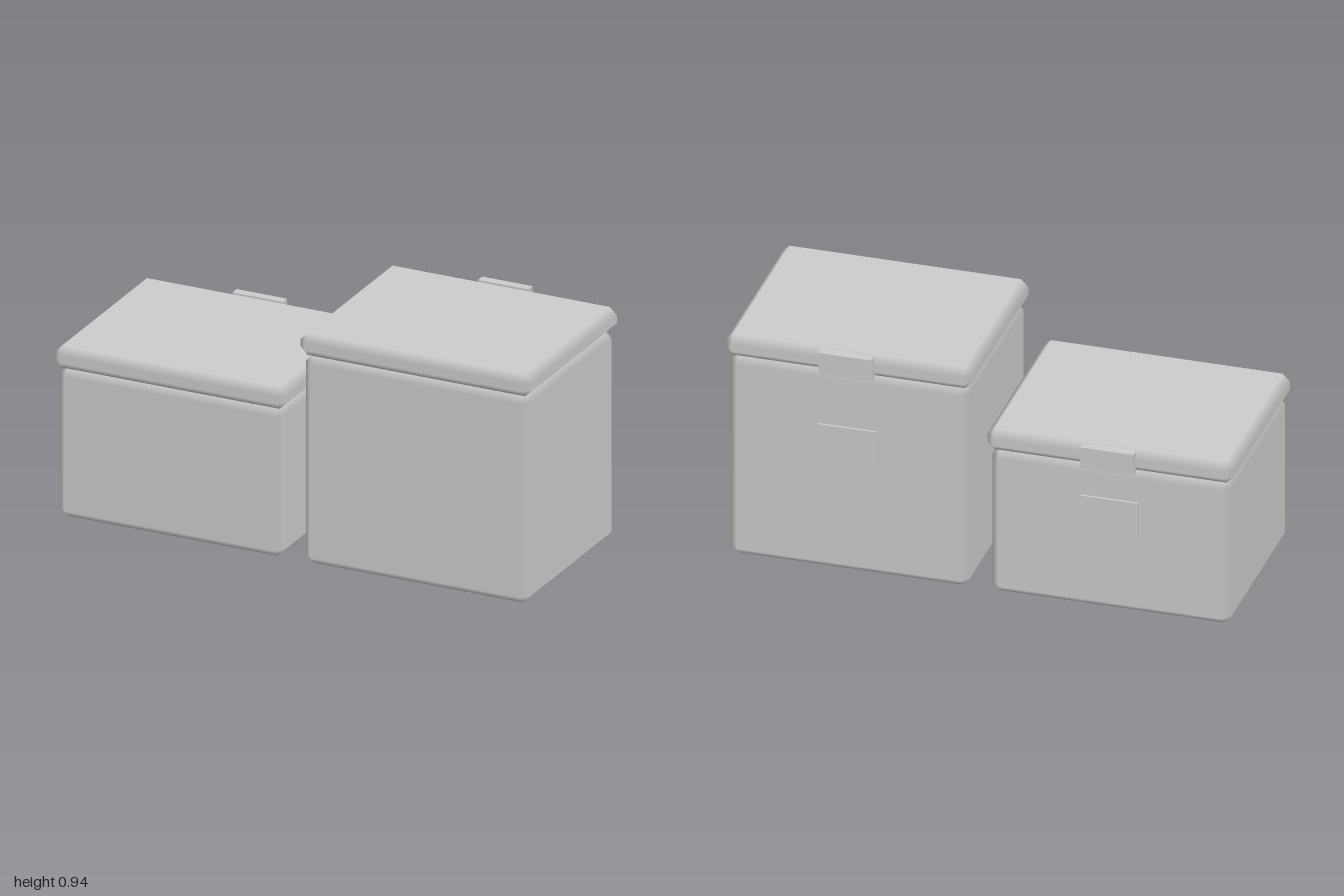
import * as THREE from 'three';
import { ConvexGeometry } from 'three/addons/geometries/ConvexGeometry.js';

const BEVEL = 0.03;

// Box with one bevel step; normals stay square to the big faces so bevels shade softly.
function bevelledBox(w, h, d, b = BEVEL) {
  const half = [w / 2, h / 2, d / 2];
  const points = [];
  for (const sx of [-1, 1]) for (const sy of [-1, 1]) for (const sz of [-1, 1]) {
    const s = [sx, sy, sz];
    for (let axis = 0; axis < 3; axis++) {
      points.push(new THREE.Vector3(...s.map((v, i) => v * (half[i] - (i === axis ? 0 : b)))));
    }
  }
  const geo = new ConvexGeometry(points);
  const pos = geo.attributes.position;
  const normal = geo.attributes.normal;
  for (let i = 0; i < pos.count; i++) {
    const p = [pos.getX(i), pos.getY(i), pos.getZ(i)];
    normal.setXYZ(i, ...p.map((v, k) => (Math.abs(v) > half[k] - b * 0.5 ? Math.sign(v) : 0)));
  }
  return geo;
}

// One lidded box, with latch and label plate on the back.
function makeBox(name, x, bodyHeight, plateY, grey) {
  const box = new THREE.Group();
  box.name = name;
  box.position.x = x;
  const add = (part, geo, y, z) => {
    const mesh = new THREE.Mesh(geo, grey);
    mesh.name = part;
    mesh.position.set(0, y, z);
    box.add(mesh);
  };
  const lidY = bodyHeight + 0.045;
  add('body', bevelledBox(0.938, bodyHeight, 0.755), bodyHeight / 2, 0.0125);
  add('lid', bevelledBox(0.97, 0.09, 0.785), lidY, 0.0125);
  add('latch', new THREE.BoxGeometry(0.21, 0.09, 0.036), lidY, -0.385);
  add('labelPlate', new THREE.BoxGeometry(0.23, 0.143, 0.012), plateY, -0.369);
  return box;
}

export function createModel() {
  const grey = new THREE.MeshStandardMaterial({ color: 0xcccccc });
  grey.name = 'grey';
  const model = new THREE.Group();
  model.name = 'storageBoxes';
  model.add(
    makeBox('tallBox', 0.513, 0.85, 0.548, grey),
    makeBox('shortBox', -0.515, 0.608, 0.405, grey),
  );
  return model;
}
